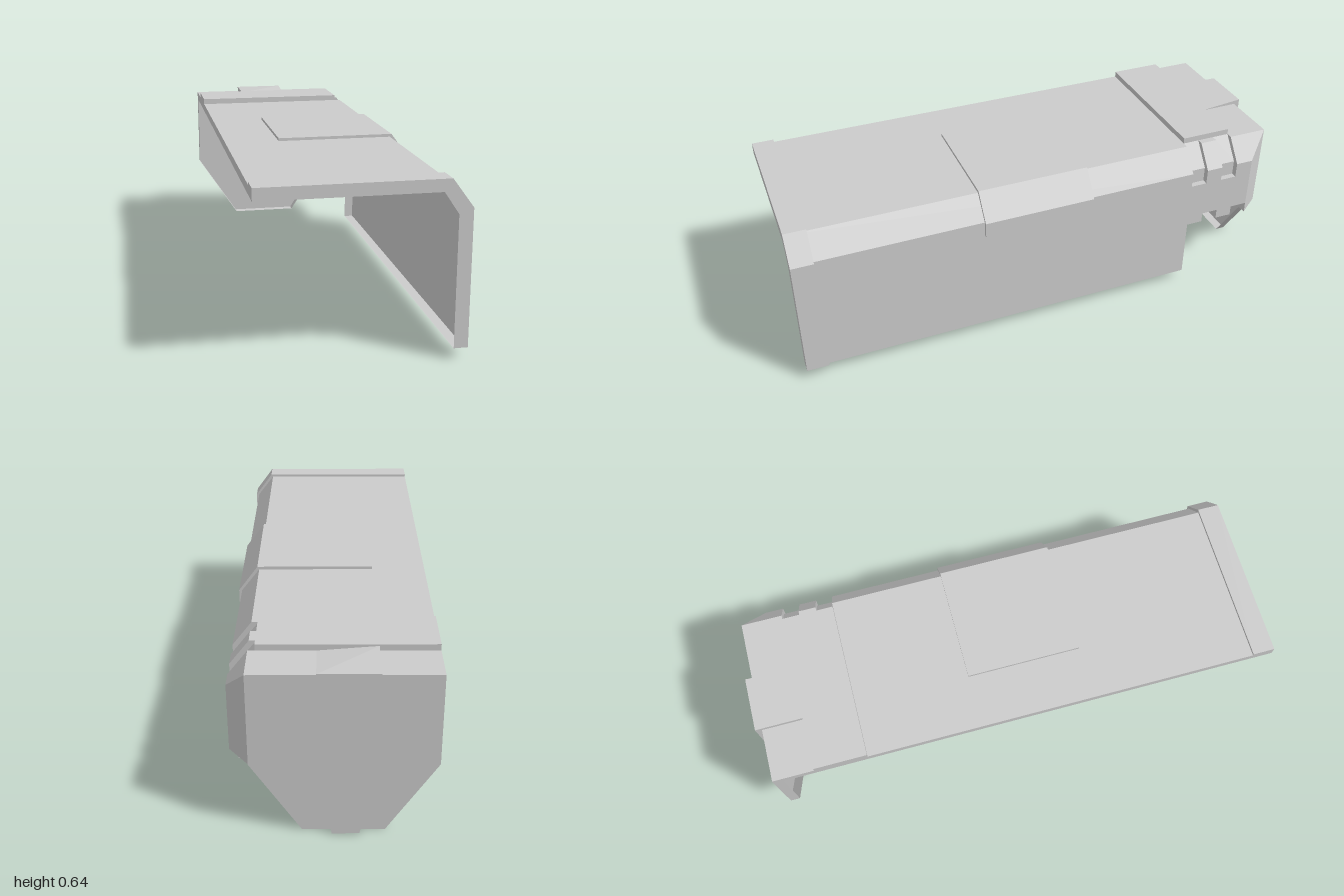
import * as THREE from 'three';
import { ConvexGeometry } from 'three/addons/geometries/ConvexGeometry.js';

const mat = new THREE.MeshStandardMaterial({
  color: 0xcccccc, flatShading: true, side: THREE.DoubleSide });

// place an xy path at depth z
const at = (path, z) => path.map(([x, y]) => [x, y, z]);

export function createModel() {
  const model = new THREE.Group();

  const add = (name, geometry) => {
    const mesh = new THREE.Mesh(geometry, mat);
    mesh.name = name;
    model.add(mesh);
  };
  // open surface lofted between two paths of equal length
  const sheet = (name, a, b) => {
    const pos = [];
    for (let i = 0; i < a.length - 1; i++) {
      pos.push(...a[i], ...b[i], ...a[i + 1], ...a[i + 1], ...b[i], ...b[i + 1]);
    }
    const g = new THREE.BufferGeometry();
    g.setAttribute('position', new THREE.Float32BufferAttribute(pos, 3));
    g.computeVertexNormals();
    add(name, g);
  };
  // extrude an xy outline from z0 to z1
  const slab = (name, pts, z0, z1) => {
    const shape = new THREE.Shape(pts.map(([x, y]) => new THREE.Vector2(x, y)));
    const g = new THREE.ExtrudeGeometry(shape, { depth: z1 - z0, bevelEnabled: false });
    add(name, g.translate(0, 0, z0));
  };
  const hull = (name, pts) =>
    add(name, new ConvexGeometry(pts.map((p) => new THREE.Vector3(...p))));

  // bent skin: left rim, flat roof, sloped shoulder, side wall, bottom rim
  const roof = [[-0.365, 0.587], [-0.365, 0.62]];
  const plain = (bottom) => [
    ...roof, [0.28, 0.62], [0.35, 0.53], [0.35, bottom], [0.312, bottom]];
  const recess = [[0.255, 0.62], [0.326, 0.53], [0.326, 0.47]];
  const recessed = (bottom) => [
    ...roof, ...recess, [0.35, 0.47], [0.35, bottom], [0.312, bottom]];
  const section = (name, path, z0, z1) => sheet(name, at(path, z0), at(path, z1));

  // main shell, then the toothed section with two vent slots
  section('mainShell', plain(0.04), -0.615, 1);
  section('ventSlot', recessed(0.28), -0.682, -0.615);
  section('ventRib', plain(0.32), -0.75, -0.682);
  section('ventSlot', recessed(0.28), -0.818, -0.75);
  section('rearRib', plain(0.32), -0.888, -0.818);

  // end walls of the vent slots and edges of the wall teeth
  for (const z of [-0.615, -0.682, -0.75, -0.818]) {
    sheet('slotEnd', at(recess, z), at([[0.28, 0.62], [0.35, 0.53], [0.35, 0.47]], z));
  }
  for (const [z, y0, y1] of [[-0.615, 0.04, 0.28], [-0.682, 0.28, 0.32],
    [-0.75, 0.28, 0.32], [-0.818, 0.28, 0.32], [-0.888, 0.275, 0.32]]) {
    sheet('toothEdge', at([[0.312, y0], [0.35, y0]], z), at([[0.312, y1], [0.35, y1]], z));
  }

  // rear roof running into the diagonally cut corner
  sheet('rearCorner',
    at([...roof, [0.28, 0.62], [0.28, 0.62], [0.28, 0.275]], -0.977),
    at([...roof, [0.28, 0.62], [0.35, 0.53], [0.35, 0.275]], -0.888));

  // tapered back plate with its edge rim
  const left = [[-0.365, 0.62], [-0.365, 0.273], [-0.185, 0]];
  const right = [[0.28, 0.62], [0.28, 0.273], [0.103, 0]];
  sheet('backPlate', at(left, -0.977), at(right, -0.977));
  const edge = [...left, right[2], right[1]];
  sheet('backPlateRim', at(edge, -0.94), at(edge, -0.977));

  // raised central strip on the back, sloping down into the roof
  slab('backStrip', [
    [-0.16, 0.62], [-0.16, 0.273], [-0.095, 0], [0, 0], [0.049, 0.273], [0.049, 0.62]],
    -1, -0.977);
  hull('stripTop', [
    [-0.16, 0.62, -1], [0.049, 0.62, -1], [-0.16, 0.62, -0.818], [0.049, 0.62, -0.818],
    [-0.16, 0.637, -1], [0.049, 0.637, -1], [-0.16, 0.637, -0.818]]);

  // raised band across the roof
  slab('roofBand', [[-0.365, 0.62], [0.255, 0.62], [0.255, 0.643], [-0.365, 0.643]], -0.818, -0.615);

  // raised layer lying over roof, shoulder and wall
  const layer = (x, bottom) => [
    [x, 0.631], [0.287, 0.631], [0.362, 0.53], [0.362, bottom],
    [0.35, bottom], [0.35, 0.53], [0.28, 0.62], [x, 0.62]];
  slab('frontLip', layer(-0.365, 0.04), 0.915, 1);
  sheet('frontEdge',
    at([[-0.365, 0.62], [0.28, 0.62], [0.35, 0.53], [0.35, 0.04]], 1),
    at([[-0.365, 0.587], [0.26, 0.587], [0.312, 0.51], [0.312, 0.04]], 1));
  slab('sidePatch', layer(-0.16, 0.47), -0.172, 0.272);
  hull('sidePatchTip', [0.35, 0.362].flatMap((x) => [
    [x, 0.47, -0.172], [x, 0.47, 0.272], [x, 0.322, 0.163], [x, 0.322, -0.063]]));

  return model;
}
